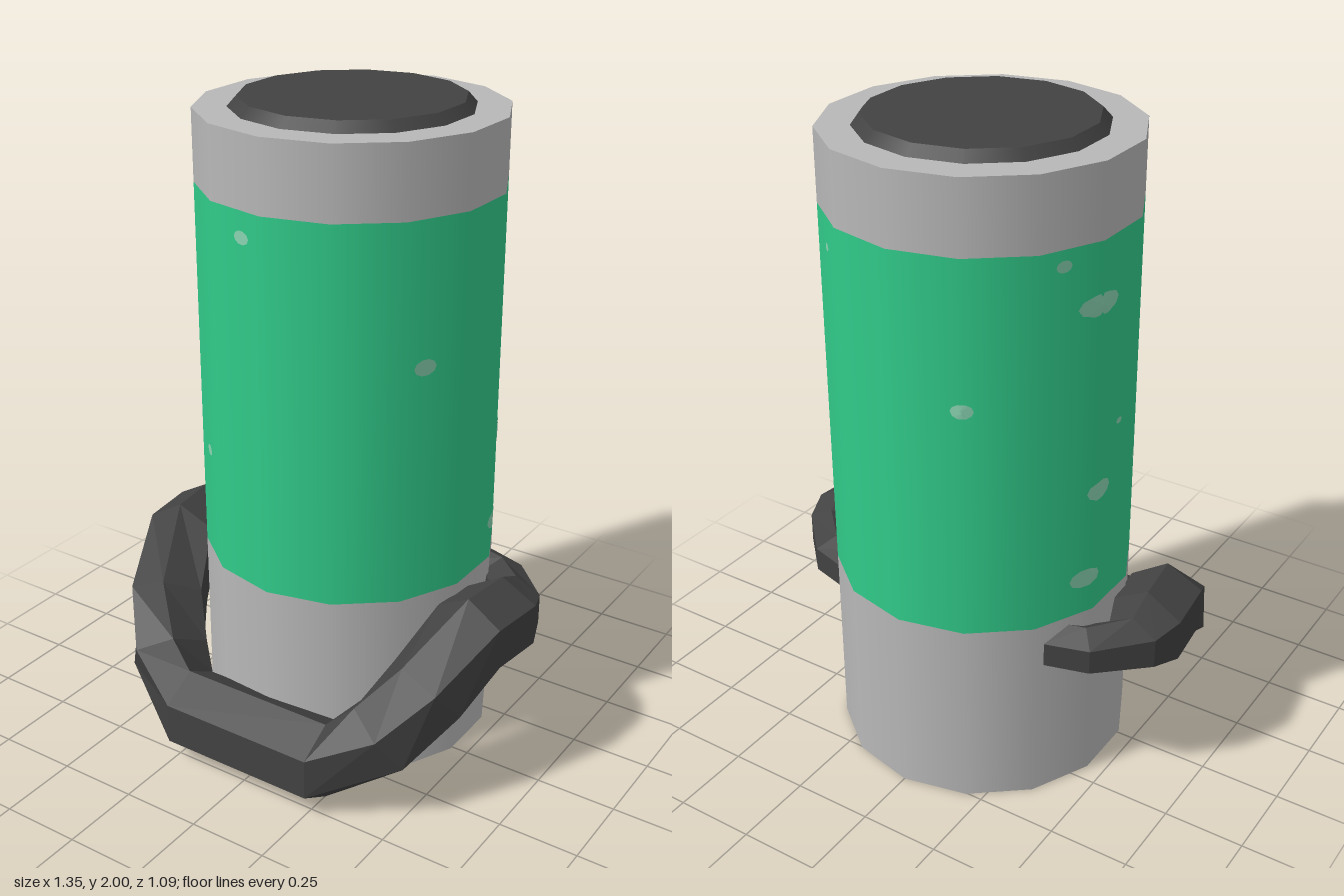
import * as THREE from 'three';

const SIDES = 14, RADIUS = 0.457, CENTRE_Z = -0.092;

function material(name, color) {
  const m = new THREE.MeshStandardMaterial({ color });
  m.name = name;
  return m;
}

// Distance from the axis to the faceted wall at a given angle
function wallRadius(angle) {
  const step = 2 * Math.PI / SIDES;
  const local = ((angle % step) + step) % step - step / 2;
  return RADIUS * Math.cos(step / 2) / Math.cos(local);
}

// Thin oval chip of paint wrapped onto the wall
function chipGeometry(degrees, y, width, height) {
  const geo = new THREE.RingGeometry(0, 1, 10, 5);
  const pos = geo.attributes.position;
  for (let i = 0; i < pos.count; i++) {
    const a = degrees * Math.PI / 180 + pos.getX(i) * width / 2 / RADIUS;
    const r = wallRadius(a) + 0.004;
    pos.setXYZ(i, Math.sin(a) * r, y + pos.getY(i) * height / 2, Math.cos(a) * r);
  }
  geo.computeVertexNormals();
  return geo;
}

// Hexagonal section: centre, heading and pitch in degrees, radius
function section([x, y, z, heading, pitch, r]) {
  const h = heading * Math.PI / 180, p = pitch * Math.PI / 180;
  const out = new THREE.Vector3(Math.sin(h), 0, Math.cos(h));
  const up = new THREE.Vector3(-Math.cos(h) * Math.sin(p), Math.cos(p), Math.sin(h) * Math.sin(p));
  return Array.from({ length: 6 }, (_, k) => new THREE.Vector3(x, y, z)
    .addScaledVector(out, r * Math.sin(k * Math.PI / 3))
    .addScaledVector(up, r * Math.cos(k * Math.PI / 3)));
}

function handleGeometry() {
  const half = [
    [0.255, 0.135, 0.432, 0, 0, 0.13],
    [0.40, 0.24, 0.35, 42, 40, 0.13],
    [0.485, 0.37, 0.24, 62, 42, 0.13],
    [0.54, 0.495, 0.095, 82, 4, 0.13],
    [0.56, 0.495, -0.065, 92, 0, 0.13],
    [0.56, 0.492, -0.155, 95, 0, 0.093],
    [0.46, 0.495, -0.255, 140, 0, 0.077],
    [0.35, 0.497, -0.285, 165, 0, 0.075],
  ].map(section);
  const mirrored = half.map(ring => ring.map(v => new THREE.Vector3(-v.x, v.y, v.z))).reverse();
  const rings = [...mirrored, ...half];
  const index = [], last = (rings.length - 1) * 6;
  for (let i = 0; i < rings.length - 1; i++) {
    for (let j = 0; j < 6; j++) {
      const a = i * 6 + j, b = i * 6 + (j + 1) % 6;
      index.push(a, b, a + 6, b, b + 6, a + 6);
    }
  }
  // closed ends
  for (let j = 1; j < 5; j++) index.push(0, j + 1, j, last, last + j, last + j + 1);
  const indexed = new THREE.BufferGeometry().setFromPoints(rings.flat());
  indexed.setIndex(index);
  const geo = indexed.toNonIndexed();
  geo.computeVertexNormals();
  return geo;
}

export function createModel() {
  const model = new THREE.Group();
  model.name = 'canister';
  const grey = material('grey metal', 0xb8b8b8);
  const green = material('green band', 0x31cb8a);
  const dark = material('dark rubber', 0x424242);
  const pale = material('pale chips', 0x8ad4b2);

  function add(parent, name, geo, mat) {
    const mesh = new THREE.Mesh(geo, mat);
    mesh.name = name;
    parent.add(mesh);
    return mesh;
  }

  const body = new THREE.Group();
  body.name = 'body';
  body.position.z = CENTRE_Z;
  model.add(body);

  function drum(name, y0, y1, rTop, rBottom, mat, open = false) {
    const geo = new THREE.CylinderGeometry(rTop, rBottom, y1 - y0, SIDES, 1, open);
    add(body, name, geo, mat).position.y = (y0 + y1) / 2;
  }
  drum('lowerShell', 0, 0.6, RADIUS, RADIUS, grey);
  drum('greenBand', 0.6, 1.755, RADIUS, RADIUS, green, true);
  drum('upperShell', 1.755, 1.97, RADIUS, RADIUS, grey);
  drum('lid', 1.97, 2.0, 0.33, 0.357, dark);

  // Worn chips in the paint: angle, height, width, tallness
  const chips = [
    [-9, 1.68, 0.06, 0.04], [60, 1.33, 0.075, 0.05], [286, 1.02, 0.06, 0.035],
    [-38, 0.955, 0.045, 0.035], [112, 1.0, 0.1, 0.07], [106, 0.725, 0.11, 0.06],
    [144, 1.67, 0.03, 0.025], [241, 1.71, 0.05, 0.035], [257, 1.575, 0.16, 0.065],
    [206, 1.32, 0.065, 0.045], [271, 1.18, 0.03, 0.02], [259, 1.0, 0.1, 0.06],
    [253, 0.72, 0.11, 0.06],
  ];
  const chipGroup = new THREE.Group();
  chipGroup.name = 'paintChips';
  body.add(chipGroup);
  for (const c of chips) add(chipGroup, 'paintChip', chipGeometry(...c), pale);

  add(model, 'handle', handleGeometry(), dark);
  return model;
}
